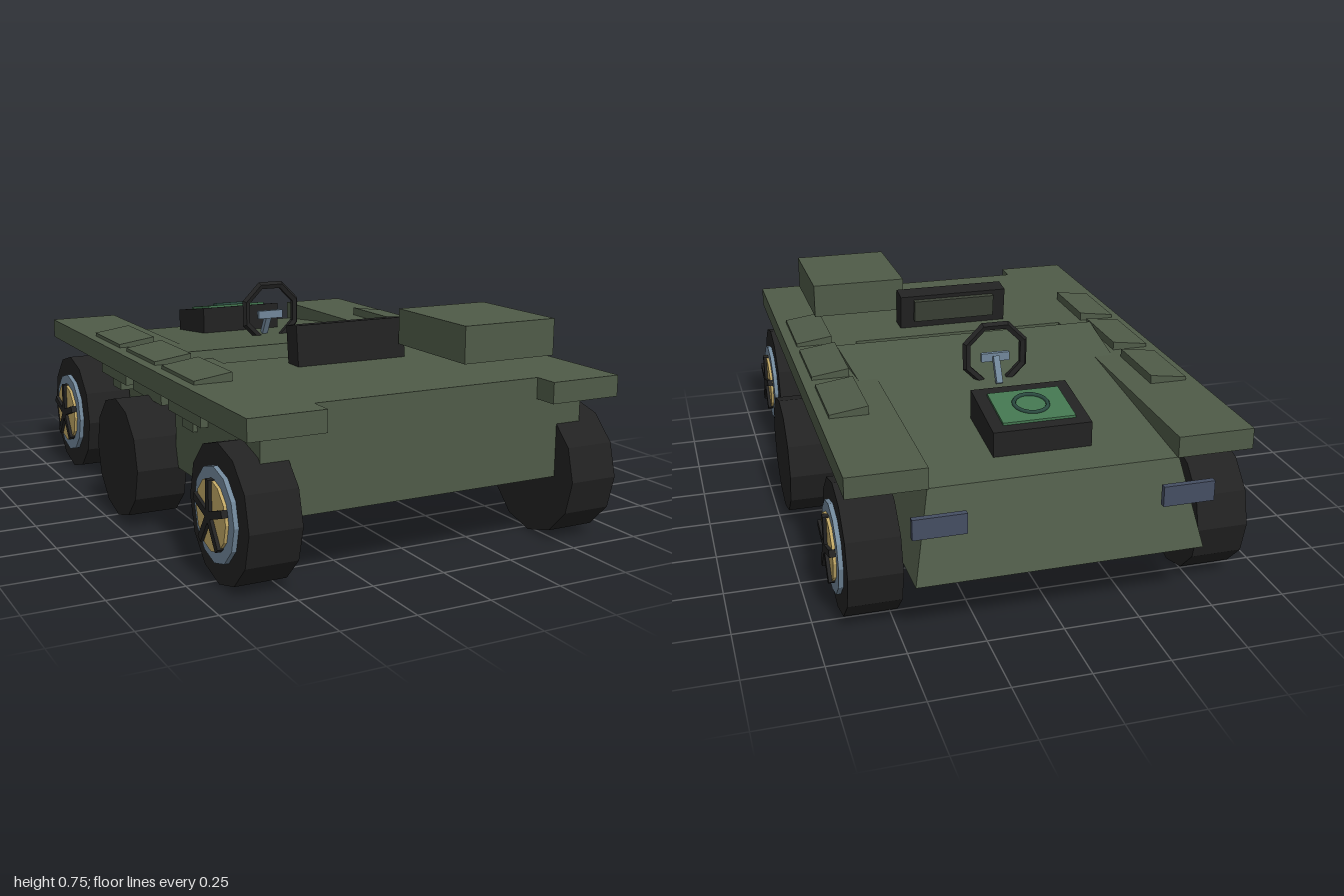
import * as THREE from 'three';

const mat = (name, color) => {
  const m = new THREE.MeshStandardMaterial({ color });
  m.name = name;
  return m;
};

export function createModel() {
  const root = new THREE.Group();
  root.name = 'sixWheeledRover';
  const green = mat('olive green', 0x4f5b48);
  const black = mat('rubber black', 0x222222);
  const steel = mat('rim steel blue', 0x71879a);
  const gold = mat('hub gold', 0xc0a765);
  const screen = mat('panel green', 0x437650);
  const ringGreen = mat('dial dark green', 0x2b4a40);
  const padGreen = mat('seat pad', 0x3b4136);
  const lamp = mat('lamp slate', 0x454e62);

  const add = (parent, name, geo, material, x = 0, y = 0, z = 0) => {
    const m = new THREE.Mesh(geo, material);
    m.name = name;
    m.position.set(x, y, z);
    parent.add(m);
    return m;
  };

  // Box given by its limits on each axis
  const box = (name, material, x0, x1, y0, y1, z0, z1) =>
    add(root, name, new THREE.BoxGeometry(x1 - x0, y1 - y0, z1 - z0), material,
      (x0 + x1) / 2, (y0 + y1) / 2, (z0 + z1) / 2);

  // Unit box whose corners are moved by a rule: (sx, sy, sz) of +-1 -> [x, y, z]
  const shaped = (name, material, rule) => {
    const g = new THREE.BoxGeometry(2, 2, 2).toNonIndexed();
    const p = g.attributes.position;
    for (let i = 0; i < p.count; i++) {
      p.setXYZ(i, ...rule(Math.sign(p.getX(i)), Math.sign(p.getY(i)), Math.sign(p.getZ(i))));
    }
    g.computeVertexNormals();
    return add(root, name, g, material);
  };

  // Front hull block
  box('frontHull', green, -0.575, 0.575, 0.222, 0.56, 0.24, 0.905);

  // Rear hull: tapered, with a deck rising toward the cockpit gap
  shaped('rearHull', green, (sx, sy, sz) => {
    if (sz > 0) return sy > 0 ? [sx * 0.49, 0.588, 0.14] : [sx * 0.49, 0.212, 0.225];
    return sy > 0 ? [sx * 0.405, 0.49, -0.89] : [sx * 0.465, 0.21, -0.978];
  });

  for (const s of [-1, 1]) {
    const span = (a, b) => (s > 0 ? [a, b] : [-b, -a]);
    // Long fender plates
    box('fender', green, ...span(0.4, 0.655), 0.49, 0.56, -0.895, 0.99);

    // Sloped pads on the fenders with brackets beneath
    for (const [z0, z1] of [[-0.455, -0.18], [-0.107, 0.175], [0.24, 0.52]]) {
      shaped('fenderPad', green, (sx, sy, sz) => [
        sx * s > 0 ? s * 0.62 : s * 0.49,
        sy < 0 ? 0.55 : (sx * s > 0 ? 0.572 : 0.59),
        sz > 0 ? z1 : z0,
      ]);
      box('bracketUpper', green, ...span(0.47, 0.6), 0.42, 0.5, z0, z1);
      const c = (z0 + z1) / 2;
      box('bracketLower', green, ...span(0.47, 0.59), 0.385, 0.5, c - 0.04, c + 0.05);
    }
    box('tailLamp', lamp, ...span(0.31, 0.478), 0.383, 0.45, -1, -0.98);
  }

  // Disc lying along the x axis
  const disc = (r, w) => new THREE.CylinderGeometry(r, r, w, 12).rotateZ(Math.PI / 2).toNonIndexed();
  const flat = (g) => { g.computeVertexNormals(); return g; };

  // Spoked front and rear wheels
  for (const s of [-1, 1]) {
    for (const z of [0.78, -0.68]) {
      const wheel = new THREE.Group();
      wheel.name = z > 0 ? 'frontWheel' : 'rearWheel';
      wheel.position.set(0, 0.223, z);
      add(wheel, 'tire', flat(disc(0.22, 0.172)), black, s * 0.569);
      add(wheel, 'rim', flat(disc(0.15, 0.04)), steel, s * 0.65);
      add(wheel, 'hub', flat(disc(0.112, 0.04)), gold, s * 0.66);
      for (let i = 0; i < 5; i++) {
        const spoke = new THREE.BoxGeometry(0.02, 0.112, 0.024)
          .translate(0, 0.056, 0).rotateX((i * Math.PI * 2) / 5);
        add(wheel, 'spoke', spoke, black, s * 0.681);
      }
      root.add(wheel);
    }
    // Plain middle wheel
    add(root, 'middleWheel', flat(disc(0.207, 0.175)), black, s * 0.632, 0.225, 0.05);
  }

  // Seat cushion in the gap, backrest and its pad
  box('seatCushion', black, -0.205, 0.205, 0.4, 0.49, 0.1, 0.237);
  const back = box('seatBack', black, -0.205, 0.205, 0.555, 0.692, 0.333, 0.408);
  back.rotation.x = -0.12;
  const pad = box('seatPad', padGreen, -0.155, 0.155, 0.59, 0.672, 0.312, 0.335);
  pad.rotation.x = -0.12;

  // Cargo crate
  box('cargoCrate', green, 0.175, 0.52, 0.608, 0.73, 0.423, 0.825);

  // Steering wheel, open at the bottom, with its column
  const steering = new THREE.TorusGeometry(0.109, 0.015, 5, 7, (Math.PI * 7) / 4)
    .rotateZ(-(Math.PI * 3) / 8).toNonIndexed();
  black.side = THREE.DoubleSide;
  add(root, 'steeringWheel', flat(steering), black, 0, 0.64, -0.23);
  const column = box('steeringColumn', steel, -0.011, 0.011, 0.545, 0.64, -0.275, -0.255);
  column.rotation.x = 0.5;
  box('steeringHub', steel, -0.05, 0.05, 0.615, 0.645, -0.24, -0.225);

  // Sloped console with panel and dial
  const slope = (z) => 0.626 + (z + 0.5) * 0.16;
  shaped('console', black, (sx, sy, sz) => {
    const z = sz > 0 ? -0.5 : -0.76;
    return [sx * 0.162, sy > 0 ? slope(z) : 0.5, z];
  });
  shaped('consolePanel', screen, (sx, sy, sz) => {
    const z = sz > 0 ? -0.545 : -0.725;
    return [sx * 0.12, slope(z) + (sy > 0 ? 0.008 : -0.001), z];
  });
  const dial = add(root, 'dial', new THREE.TorusGeometry(0.055, 0.007, 6, 16), ringGreen,
    0, slope(-0.632) + 0.01, -0.632);
  dial.rotation.x = -Math.PI / 2 - 0.16;

  return root;
}
